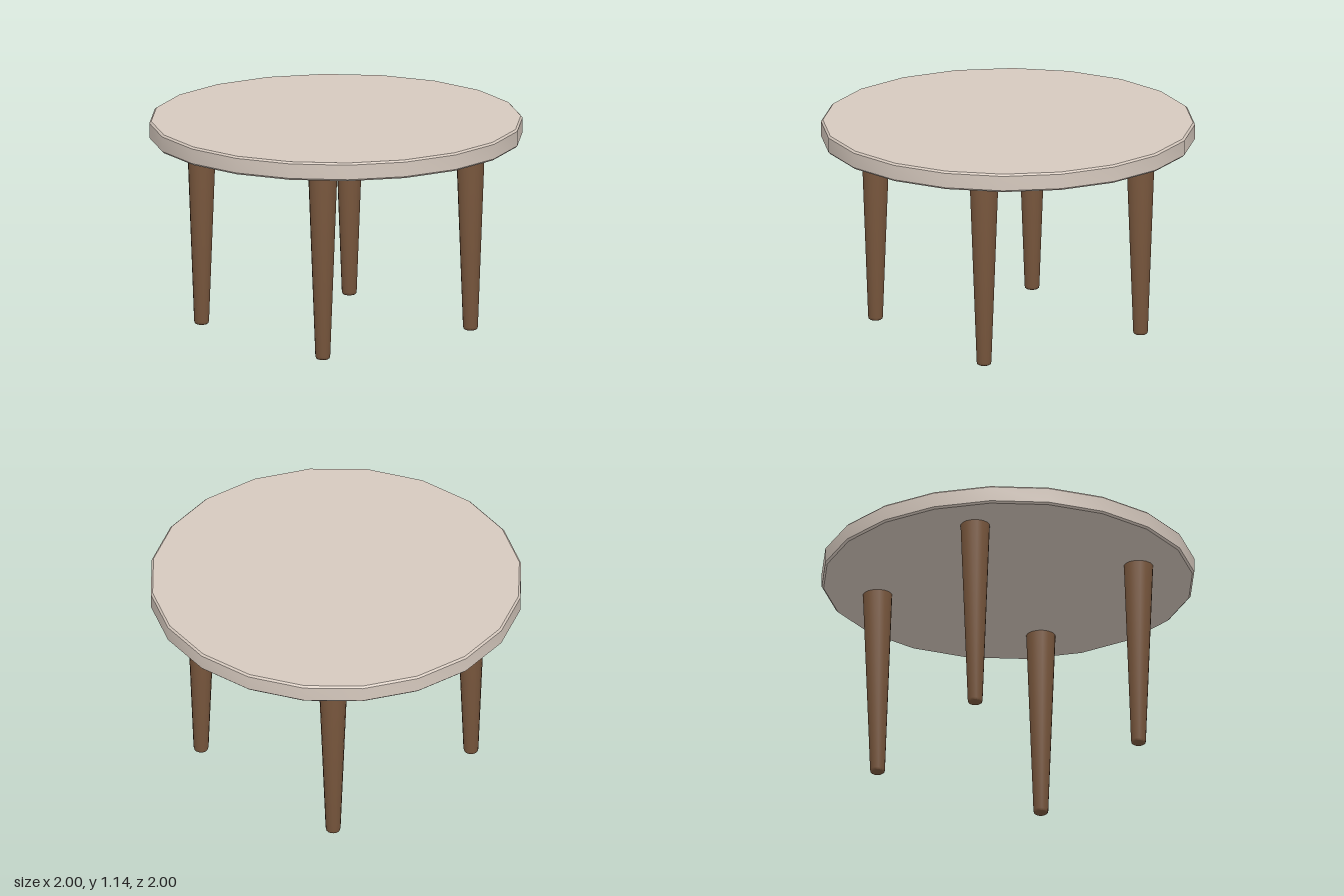
import * as THREE from 'three';
import { toCreasedNormals } from 'three/addons/utils/BufferGeometryUtils.js';

// Turned part from a bottom-to-top profile of [radius, height] pairs
function turned(profile, sides, crease) {
  const points = profile.map(([r, y]) => new THREE.Vector2(r, y));
  return toCreasedNormals(new THREE.LatheGeometry(points, sides), crease);
}

export function createModel() {
  const table = new THREE.Group();
  table.name = 'roundTable';

  const stone = new THREE.MeshStandardMaterial({ color: 0xd6c9be });
  stone.name = 'pale stone';
  const wood = new THREE.MeshStandardMaterial({ color: 0x7a583e });
  wood.name = 'brown wood';

  // Twenty-sided top with small bevelled edges
  const top = new THREE.Mesh(turned([
    [0, 1.045], [0.99, 1.045], [1, 1.055], [1, 1.135], [0.99, 1.145], [0, 1.145],
  ], 20, 0.6), stone);
  top.name = 'tableTop';
  table.add(top);

  // Four tapered legs with softened feet
  const legGeometry = turned([
    [0, 0], [0.03, 0], [0.037, 0.005], [0.04, 0.017], [0.079, 1.046], [0, 1.046],
  ], 16, 0.75);
  for (const [side, sx] of [['Left', 1], ['Right', -1]]) {
    for (const [end, sz] of [['front', 1], ['back', -1]]) {
      const leg = new THREE.Mesh(legGeometry, wood);
      leg.name = `${end}${side}Leg`;
      leg.position.set(sx * 0.507, 0, sz * 0.513);
      table.add(leg);
    }
  }
  return table;
}
